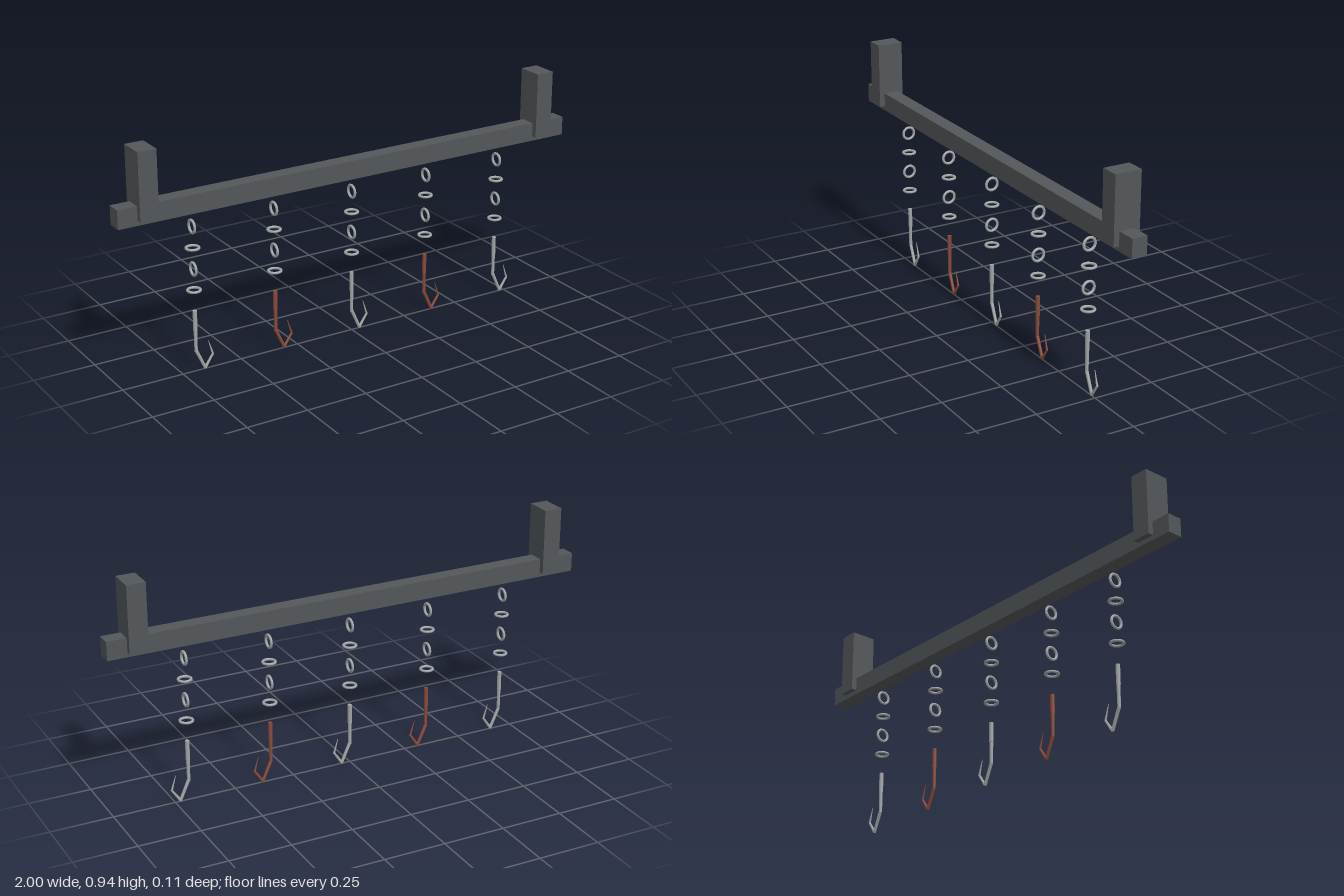
import * as THREE from 'three';

const mat = (name, color) => {
  const m = new THREE.MeshStandardMaterial({ color });
  m.name = name;
  return m;
};

export function createModel() {
  const iron = mat('dark iron', 0x53575a);
  const steel = mat('steel', 0xa3a6a8);
  const rust = mat('rusty steel', 0x8a4b3c);
  const model = new THREE.Group();
  model.name = 'hookRail';

  const add = (parent, name, geometry, material, x, y, z = 0) => {
    const mesh = new THREE.Mesh(geometry, material);
    mesh.name = name;
    mesh.position.set(x, y, z);
    parent.add(mesh);
    return mesh;
  };

  // Tapered round rod between two points [x, y]
  const rod = (parent, name, a, b, ra, rb, material) => {
    const from = new THREE.Vector3(a[0], a[1], 0);
    const to = new THREE.Vector3(b[0], b[1], 0);
    const dir = to.clone().sub(from);
    const mid = from.clone().add(to).multiplyScalar(0.5);
    const mesh = add(parent, name, new THREE.CylinderGeometry(rb, ra, dir.length(), 10), material, mid.x, mid.y);
    mesh.quaternion.setFromUnitVectors(new THREE.Vector3(0, 1, 0), dir.normalize());
  };

  // Rail and the two ceiling brackets
  add(model, 'rail', new THREE.BoxGeometry(2, 0.075, 0.062), iron, 0, 0.6925);
  for (const side of [-1, 1]) {
    add(model, side > 0 ? 'leftBracket' : 'rightBracket',
      new THREE.BoxGeometry(0.075, 0.267, 0.107), iron, side * 0.884, 0.8075);
  }

  // Five chains, each with a hook; every second hook is rusty
  const ring = new THREE.TorusGeometry(0.0247, 0.0055, 8, 20);
  for (let i = 0; i < 5; i++) {
    const hanger = new THREE.Group();
    hanger.name = 'hanger' + (i + 1);
    hanger.position.x = (i - 2) * 0.346;
    model.add(hanger);

    // Links alternate between upright and flat
    [0.594, 0.509, 0.424, 0.339].forEach((y, k) => {
      const link = add(hanger, 'chainLink', ring, steel, 0, y);
      if (k % 2) link.rotation.x = Math.PI / 2;
      else link.rotation.y = Math.PI / 2;
    });

    // Thick upper shank, thinner lower shank, bend and pointed barb
    const m = i % 2 ? rust : steel;
    rod(hanger, 'upperShank', [0, 0.175], [0, 0.255], 0.0085, 0.0085, m);
    rod(hanger, 'lowerShank', [0, 0.085], [0, 0.175], 0.0065, 0.0072, m);
    rod(hanger, 'hookBend', [0.037, 0.008], [0, 0.09], 0.0062, 0.0068, m);
    rod(hanger, 'hookTip', [0.037, 0.01], [0.071, 0.06], 0.006, 0.0045, m);
    rod(hanger, 'barb', [0.071, 0.057], [0.053, 0.118], 0.0045, 0.0012, m);
  }
  return model;
}
